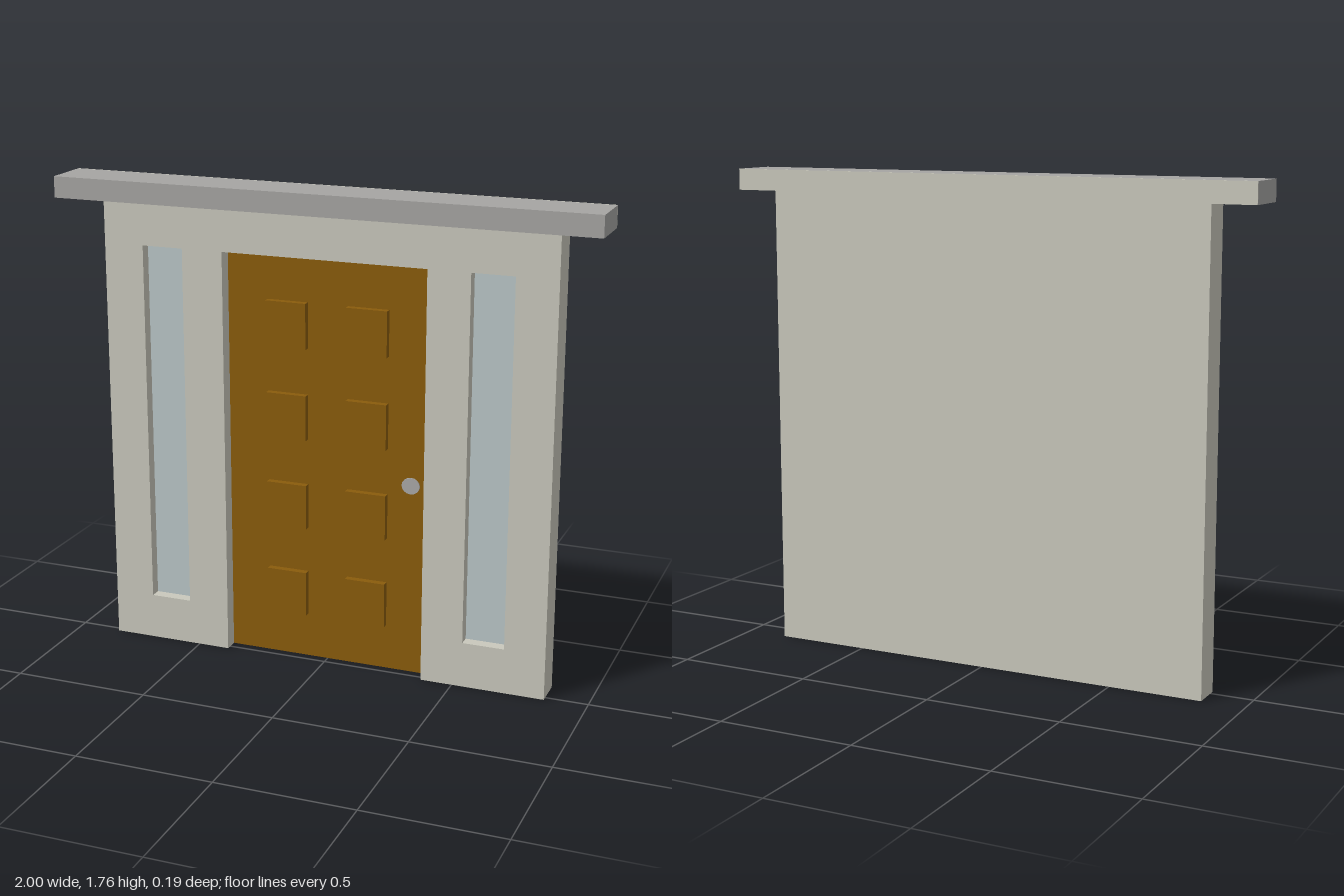
import * as THREE from 'three';

const mat = (name, color) => {
  const m = new THREE.MeshStandardMaterial({ color });
  m.name = name;
  return m;
};

export function createModel() {
  const plaster = mat('plaster', 0xc9c8bc);
  const wood = mat('wood', 0x8a5c0c);
  const stone = mat('greyStone', 0xa6a5a3);
  const glass = mat('glass', 0xbac7c8);
  const metal = mat('knobMetal', 0xaaa9a7);

  const model = new THREE.Group();
  model.name = 'doorway';

  const BACK = -0.092, SKIN = 0.004, FRONT = 0.02, DOOR = -0.034, GLASS = -0.022;
  const WALL_H = 1.688, TOP = 1.765;

  // Box given by its minimum and maximum corners
  const box = (name, material, x0, x1, y0, y1, z0, z1) => {
    const mesh = new THREE.Mesh(new THREE.BoxGeometry(x1 - x0, y1 - y0, z1 - z0), material);
    mesh.position.set((x0 + x1) / 2, (y0 + y1) / 2, (z0 + z1) / 2);
    mesh.name = name;
    model.add(mesh);
    return mesh;
  };

  // Wall with a door notch and two tall window openings
  const outline = new THREE.Shape([
    [-0.843, 0], [-0.382, 0], [-0.382, 1.523], [0.382, 1.523],
    [0.382, 0], [0.843, 0], [0.843, WALL_H], [-0.843, WALL_H],
  ].map(([x, y]) => new THREE.Vector2(x, y)));
  for (const side of [-1, 1]) {
    const hole = [[0.537, 0.17], [0.692, 0.17], [0.692, 1.523], [0.537, 1.523]];
    outline.holes.push(new THREE.Path(hole.map(([x, y]) => new THREE.Vector2(side * x, y))));
  }
  const wallDepth = FRONT - BACK - SKIN;
  const wall = new THREE.Mesh(
    new THREE.ExtrudeGeometry(outline, { depth: wallDepth, bevelEnabled: false }), plaster);
  wall.position.z = BACK + SKIN;
  wall.name = 'wall';
  model.add(wall);

  // Plain back face behind the wall and the lintel
  box('wallBack', plaster, -0.843, 0.843, 0, WALL_H, BACK, BACK + SKIN);
  box('lintelBack', plaster, -1, 1, WALL_H, TOP, BACK, BACK + SKIN);

  // Overhanging lintel
  box('lintel', stone, -1, 1, WALL_H, TOP, BACK + SKIN, 0.094);

  // Side windows
  box('leftWindow', glass, 0.537, 0.692, 0.17, 1.523, GLASS - 0.008, GLASS);
  box('rightWindow', glass, -0.692, -0.537, 0.17, 1.523, GLASS - 0.008, GLASS);

  // Door slab with two columns of raised panels
  box('door', wood, -0.382, 0.382, 0, 1.523, BACK + SKIN, DOOR);
  for (let row = 0; row < 4; row++) {
    const y = 0.17 + row * 0.339;
    for (const x of [-0.229, 0.076]) {
      box('doorPanel', wood, x, x + 0.153, y, y + 0.168, DOOR, DOOR + 0.025);
    }
  }

  // Flat round knob
  const knob = new THREE.Mesh(new THREE.CylinderGeometry(0.034, 0.034, 0.006, 16), metal);
  knob.rotation.x = Math.PI / 2;
  knob.scale.z = 0.9;
  knob.position.set(0.317, 0.72, DOOR + 0.002);
  knob.name = 'doorKnob';
  model.add(knob);

  return model;
}
